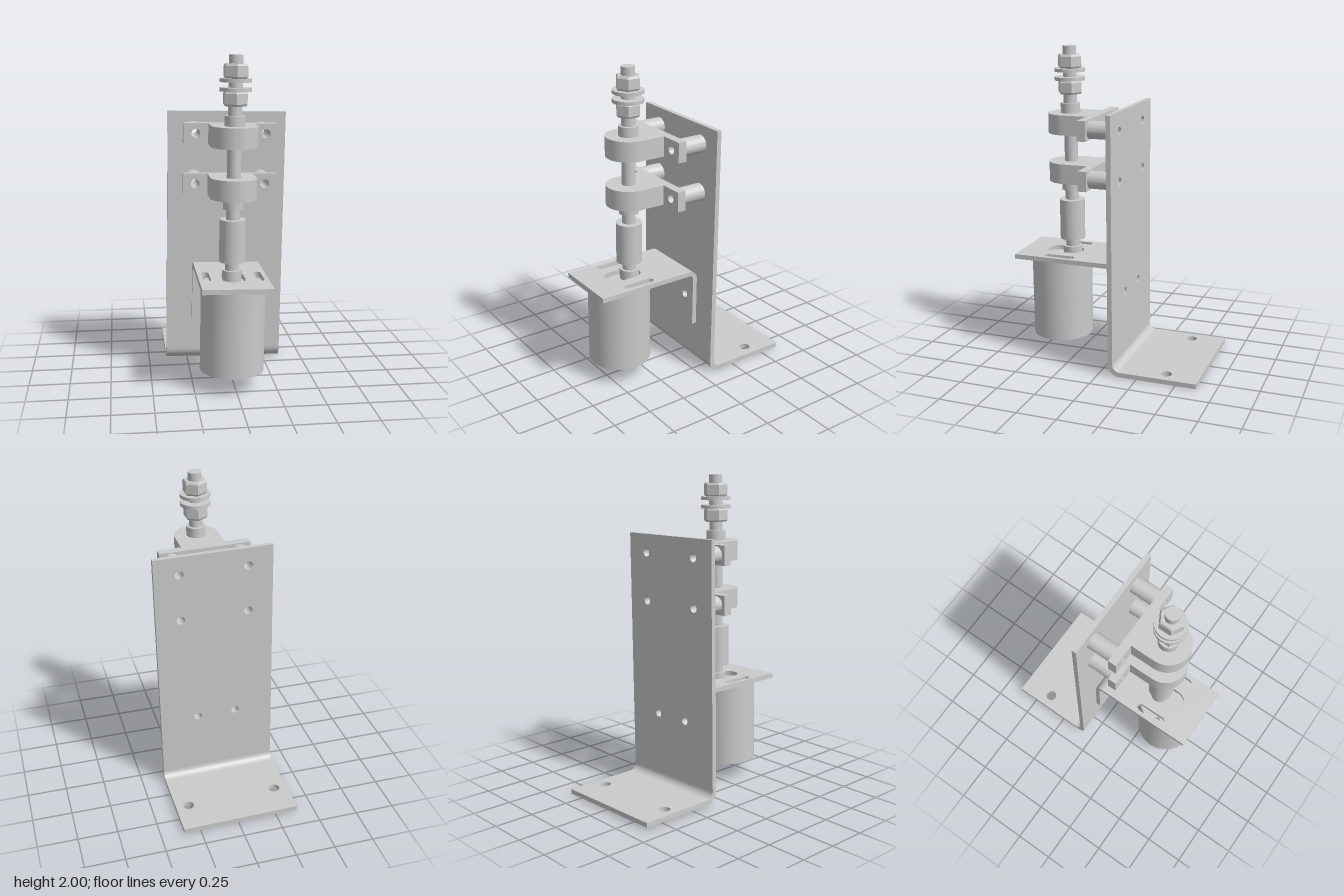
import * as THREE from 'three';
import { toCreasedNormals } from 'three/addons/utils/BufferGeometryUtils.js';

const grey = new THREE.MeshStandardMaterial({ color: 0xcccccc });
const faceted = new THREE.MeshStandardMaterial({ color: 0xcccccc, flatShading: true });
const AXIS_Z = 0.31; // spindle axis
const MOTOR_Z = 0.388; // motor body axis, offset from its output shaft

export function createModel() {
  const model = new THREE.Group();
  model.name = 'spindleStand';

  const add = (name, geometry, material = grey) => {
    const mesh = new THREE.Mesh(geometry, material);
    mesh.name = name;
    model.add(mesh);
    return mesh;
  };

  const extrude = (shape, depth) => toCreasedNormals(
    new THREE.ExtrudeGeometry(shape, { depth, bevelEnabled: false, curveSegments: 24 }), 0.6);

  const rect = (x0, y0, x1, y1) => new THREE.Shape([
    new THREE.Vector2(x0, y0), new THREE.Vector2(x1, y0),
    new THREE.Vector2(x1, y1), new THREE.Vector2(x0, y1)]);

  const hole = (shape, x, y, r) => {
    shape.holes.push(new THREE.Path().absarc(x, y, r, 0, Math.PI * 2, true));
  };

  // Round-ended slot running along the shape's y direction
  const slot = (shape, x, y0, y1, r) => {
    const path = new THREE.Path();
    path.absarc(x, y1 - r, r, 0, Math.PI, false);
    path.absarc(x, y0 + r, r, Math.PI, Math.PI * 2, false);
    path.closePath();
    shape.holes.push(path);
  };

  // Shape drawn in (x, y), thickened forward from z
  const upright = (name, shape, z, t) => add(name, extrude(shape, t).translate(0, 0, z));
  // Shape drawn in (x, z), thickened down from its top
  const level = (name, shape, top, t) =>
    add(name, extrude(shape, t).rotateX(Math.PI / 2).translate(0, top, 0));

  // Quarter bend of sheet metal, running along x
  const bend = (name, z, y, outer, inner, start, width) => {
    const s = new THREE.Shape();
    s.absarc(z, y, outer, start, start + Math.PI / 2, false);
    s.absarc(z, y, inner, start + Math.PI / 2, start, true);
    add(name, extrude(s, width).rotateY(-Math.PI / 2).translate(width / 2, 0, 0));
  };

  const rod = (name, r, y0, y1, z = AXIS_Z) =>
    add(name, new THREE.CylinderGeometry(r, r, y1 - y0, 48).translate(0, (y0 + y1) / 2, z));

  const clampHeights = [1.205, 1.513];
  const sides = [-1, 1];

  // Tall back plate with bent foot
  const back = rect(-0.3725, 0.075, 0.3725, 1.63);
  const foot = rect(-0.3725, -0.63, 0.3725, -0.14);
  for (const s of sides) {
    for (const y of clampHeights) hole(back, s * 0.215, y, 0.027);
    hole(back, s * 0.125, 0.475, 0.025);
    hole(foot, s * 0.29, -0.42, 0.035);
  }
  upright('backPlate', back, -0.095, 0.03);
  level('foot', foot, 0.03, 0.03);
  bend('footBend', -0.14, 0.075, 0.075, 0.045, -Math.PI / 2, 0.745);

  // Angle bracket carrying the motor
  const bracketWall = rect(-0.21, 0.29, 0.21, 0.61);
  const shelf = rect(-0.21, -0.005, 0.21, 0.63);
  slot(shelf, 0, 0.24, 0.48, 0.07);
  for (const s of sides) {
    hole(bracketWall, s * 0.125, 0.475, 0.025);
    slot(shelf, s * 0.16, 0.24, 0.445, 0.0225);
  }
  upright('bracketWall', bracketWall, -0.065, 0.03);
  level('bracketShelf', shelf, 0.67, 0.03);
  bend('bracketBend', -0.005, 0.61, 0.06, 0.03, Math.PI / 2, 0.42);

  // Motor: plain can with a drilled top face
  rod('motorBody', 0.195, 0.105, 0.6, MOTOR_Z);
  const motorFace = new THREE.Shape().absarc(0, MOTOR_Z, 0.195, 0, Math.PI * 2, false);
  hole(motorFace, -0.16, 0.392, 0.017);
  hole(motorFace, 0.16, 0.37, 0.017);
  level('motorFace', motorFace, 0.64, 0.04);
  rod('motorBoss', 0.06, 0.63, 0.705);
  rod('motorShaft', 0.043, 0.7, 0.77);

  // Drive line
  rod('coupling', 0.08, 0.757, 1.017);
  rod('spindle', 0.042, 1.01, 1.99);
  rod('lowerBush', 0.061, 1.08, 1.15);
  rod('upperBush', 0.061, 1.57, 1.637);

  // Bearing clamps on tubular standoffs
  for (const y of clampHeights) {
    const h = 0.125;
    const body = new THREE.Shape();
    body.moveTo(0.14, 0.15);
    body.lineTo(0.14, AXIS_Z);
    body.absarc(0, AXIS_Z, 0.14, 0, Math.PI, false);
    body.lineTo(-0.14, 0.15);
    level('clampBody', body, y + h / 2, h);

    const flange = rect(-0.29, y - h / 2, 0.29, y + h / 2);
    for (const s of sides) {
      hole(flange, s * 0.215, y, 0.027);
      const tube = new THREE.Shape().absarc(s * 0.215, y, 0.055, 0, Math.PI * 2, false);
      hole(tube, s * 0.215, y, 0.027);
      upright('standoff', tube, -0.065, 0.16);
    }
    upright('clampFlange', flange, 0.095, 0.055);
  }

  // Hex nuts and washers at the top
  const nut = (y0, y1) => {
    const profile = [[0, y0], [0.07, y0], [0.078, y0 + 0.012], [0.078, y1 - 0.012], [0.07, y1], [0, y1]]
      .map(([r, y]) => new THREE.Vector2(r, y));
    add('hexNut', new THREE.LatheGeometry(profile, 6).translate(0, 0, AXIS_Z), faceted);
  };
  nut(1.693, 1.778);
  rod('lowerWasher', 0.095, 1.778, 1.8);
  rod('upperWasher', 0.095, 1.832, 1.853);
  nut(1.853, 1.938);

  // The whole stand leans slightly sideways
  model.rotation.z = -0.0185;
  model.position.set(-0.018, 0.007, 0);
  const root = new THREE.Group();
  root.name = 'stand';
  root.add(model);
  return root;
}
